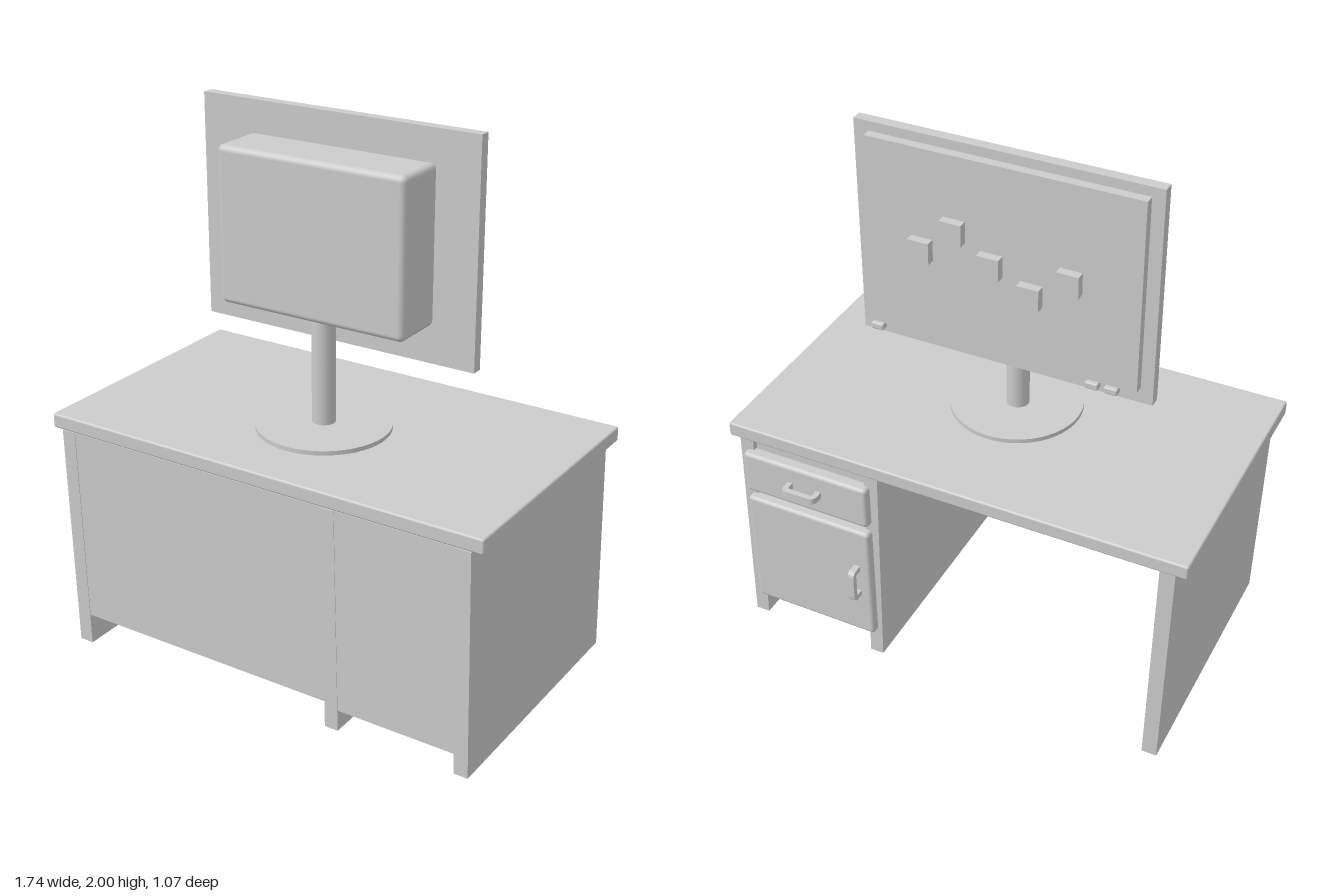
import * as THREE from 'three';
import { RoundedBoxGeometry } from 'three/addons/geometries/RoundedBoxGeometry.js';

const material = new THREE.MeshStandardMaterial({ color: 0xcccccc });

function add(parent, name, geometry) {
  const mesh = new THREE.Mesh(geometry, material);
  mesh.name = name;
  parent.add(mesh);
  return mesh;
}

// Box given by its extents; a radius rounds its edges
function block(parent, name, [x0, x1], [y0, y1], [z0, z1], radius = 0) {
  const size = [x1 - x0, y1 - y0, z1 - z0];
  const geometry = radius
    ? new RoundedBoxGeometry(...size, 3, radius)
    : new THREE.BoxGeometry(...size);
  geometry.translate((x0 + x1) / 2, (y0 + y1) / 2, (z0 + z1) / 2);
  return add(parent, name, geometry);
}

// Upright panel leaning slightly: its foot sits further to +x than its top
function leaningPanel(parent, name, x, y, z) {
  const mesh = block(parent, name, x, y, z);
  const p = mesh.geometry.attributes.position;
  for (let i = 0; i < p.count; i++) p.setX(i, p.getX(i) + 0.017 * (0.86 - p.getY(i)) / 0.86);
  mesh.geometry.computeVertexNormals();
  return mesh;
}

// Flat bow handle, lying in the xy plane with its feet on y = 0
function handleGeometry() {
  const w = 0.068, d = 0.052, t = 0.02, r = 0.025;
  const s = new THREE.Shape();
  s.moveTo(-w, 0);
  s.lineTo(-w, d - r);
  s.quadraticCurveTo(-w, d, -w + r, d);
  s.lineTo(w - r, d);
  s.quadraticCurveTo(w, d, w, d - r);
  s.lineTo(w, 0);
  s.lineTo(w - t, 0);
  s.lineTo(w - t, d - r);
  s.quadraticCurveTo(w - t, d - t, w - r, d - t);
  s.lineTo(-w + r, d - t);
  s.quadraticCurveTo(-w + t, d - t, -w + t, d - r);
  s.lineTo(-w + t, 0);
  const g = new THREE.ExtrudeGeometry(s, { depth: 0.024, bevelEnabled: false, curveSegments: 5 });
  g.translate(0, 0, -0.012);
  g.rotateX(-Math.PI / 2);
  return g;
}

function createDesk() {
  const desk = new THREE.Group();
  desk.name = 'desk';
  const depth = [-0.455, 0.53];

  block(desk, 'desktop', [-0.87, 0.865], [0.86, 0.915], [-0.46, 0.53], 0.008);

  // Side panels, divider and front modesty panel
  leaningPanel(desk, 'rightSidePanel', [-0.827, -0.772], [0.005, 0.86], depth);
  leaningPanel(desk, 'leftSidePanel', [0.77, 0.823], [0.03, 0.86], depth);
  leaningPanel(desk, 'dividerPanel', [0.268, 0.32], [0.025, 0.86], depth);
  leaningPanel(desk, 'modestyPanel', [-0.772, 0.268], [0.123, 0.86], [0.495, 0.528]);

  // Closed cabinet with one drawer and one door
  leaningPanel(desk, 'cabinetBody', [0.32, 0.77], [0.105, 0.86], [-0.435, 0.528]);
  block(desk, 'drawerFront', [0.3, 0.8], [0.65, 0.82], [-0.485, -0.43], 0.015);
  block(desk, 'cabinetDoor', [0.3, 0.8], [0.14, 0.62], [-0.485, -0.43], 0.015);

  add(desk, 'drawerHandle', handleGeometry()).position.set(0.55, 0.74, -0.483);
  const doorHandle = add(desk, 'doorHandle', handleGeometry());
  doorHandle.position.set(0.353, 0.393, -0.483);
  doorHandle.rotation.z = Math.PI / 2;
  return desk;
}

function createMonitor() {
  const monitor = new THREE.Group();
  monitor.name = 'monitor';

  // Stand
  add(monitor, 'standBase', new THREE.CylinderGeometry(0.24, 0.24, 0.018, 48))
    .position.set(0, 0.922, 0.097);
  add(monitor, 'standPole', new THREE.CylinderGeometry(0.042, 0.042, 0.44, 20))
    .position.set(-0.007, 1.14, 0.088);

  // Housing and screen
  block(monitor, 'rearHousing', [-0.375, 0.36], [1.325, 1.885], [-0.03, 0.18], 0.022);
  block(monitor, 'screenFrame', [-0.57, 0.52], [1.19, 2], [-0.06, -0.02]);
  block(monitor, 'screen', [-0.525, 0.465], [1.25, 1.965], [-0.094, -0.06]);

  // Raised icons on the screen
  const icons = [[0.262, 1.595], [0.14, 1.695], [0.005, 1.6], [-0.14, 1.525], [-0.28, 1.615]];
  for (const [x, y] of icons) {
    block(monitor, 'screenIcon', [x - 0.04, x + 0.04], [y - 0.04, y + 0.04], [-0.126, -0.094]);
  }

  // Buttons along the lower edge
  for (const x of [0.455, -0.36, -0.43]) {
    block(monitor, 'button', [x - 0.024, x + 0.024], [1.209, 1.235], [-0.092, -0.06], 0.006);
  }
  return monitor;
}

export function createModel() {
  const model = new THREE.Group();
  model.name = 'deskWithMonitor';
  model.add(createDesk(), createMonitor());
  return model;
}
